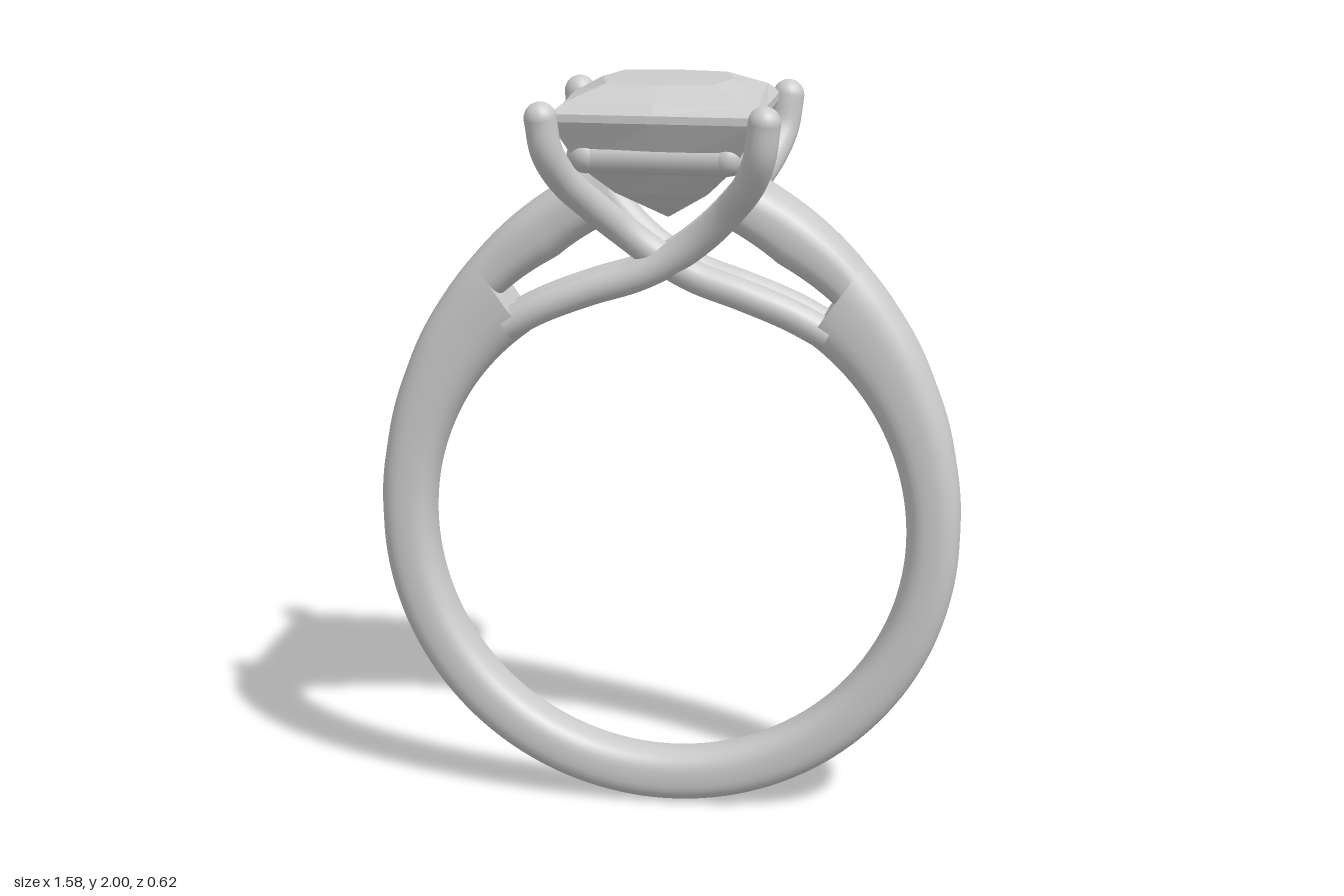
import * as THREE from 'three';

const metal = new THREE.MeshStandardMaterial({ color: 0xcccccc });
const facet = new THREE.MeshStandardMaterial({ color: 0xcccccc, flatShading: true });
const CENTRE_Y = 0.79;
const SPLIT = 55; // angle above horizontal where the band divides

// Piecewise smooth lookup in a list of [key, value] pairs
function lookup(table, k) {
  if (k <= table[0][0]) return table[0][1];
  for (let i = 1; i < table.length; i++) {
    const [k0, v0] = table[i - 1], [k1, v1] = table[i];
    if (k <= k1) return v0 + (v1 - v0) * (k - k0) / (k1 - k0);
  }
  return table[table.length - 1][1];
}

// Skin a list of closed rings of Vector3 and cap both ends
function loft(rings) {
  const n = rings[0].length, pos = [], idx = [];
  rings.forEach(r => r.forEach(p => pos.push(p.x, p.y, p.z)));
  for (let i = 0; i < rings.length - 1; i++) {
    for (let j = 0; j < n; j++) {
      const k = (j + 1) % n, a = i * n + j, c = i * n + k;
      idx.push(a, a + n, c, a + n, c + n, c);
    }
  }
  [rings[0], rings[rings.length - 1]].forEach((ring, end) => {
    const base = pos.length / 3, mid = new THREE.Vector3();
    ring.forEach(p => { mid.addScaledVector(p, 1 / n); pos.push(p.x, p.y, p.z); });
    pos.push(mid.x, mid.y, mid.z);
    for (let j = 0; j < n; j++) {
      const a = base + j, b = base + (j + 1) % n;
      if (end) idx.push(base + n, b, a); else idx.push(base + n, a, b);
    }
  });
  const g = new THREE.BufferGeometry();
  g.setAttribute('position', new THREE.Float32BufferAttribute(pos, 3));
  g.setIndex(idx);
  g.computeVertexNormals();
  return g;
}

// Band profile by angle above horizontal (degrees)
const outerR = [[-90, 0.79], [0, 0.787], [15, 0.798], [30, 0.824], [45, 0.866], [55, 0.9], [72, 0.97], [80, 1.005]];
const halfW = [[-90, 0.07], [0, 0.086], [45, 0.088], [58, 0.092], [70, 0.103], [80, 0.12]];
const shoulderInner = [[55, 0.77], [68, 0.79], [80, 0.845]];

// Sweep a rounded section around the finger from one angle to another
function bandPiece(from, to, steps, innerR) {
  const rings = [];
  for (let i = 0; i <= steps; i++) {
    const deg = from + (to - from) * i / steps;
    const up = deg < -90 ? -180 - deg : deg;
    const ang = THREE.MathUtils.degToRad(deg);
    const ri = innerR(up), ro = lookup(outerR, up), w = lookup(halfW, up);
    const ring = [];
    for (let j = 0; j < 32; j++) {
      const u = j / 32 * Math.PI * 2, e = 2 / 2.6;
      const c = Math.sign(Math.cos(u)) * Math.abs(Math.cos(u)) ** e;
      const s = Math.sign(Math.sin(u)) * Math.abs(Math.sin(u)) ** e;
      const r = (ri + ro) / 2 + c * (ro - ri) / 2;
      ring.push(new THREE.Vector3(r * Math.cos(ang), CENTRE_Y + r * Math.sin(ang), w * s));
    }
    rings.push(ring);
  }
  return loft(rings);
}

// Wire that leaves the band, crosses the middle and rises into a claw
function prong(side, crossZ) {
  const g = new THREE.Group();
  g.name = 'prong';
  const path = [
    [-0.43, 1.34, 0.045], [-0.33, 1.392, 0.048], [-0.2, 1.443, 0.05], [-0.08, 1.483, (0.05 + crossZ) / 2],
    [0.02, 1.535, crossZ], [0.11, 1.605, crossZ + 0.02], [0.185, 1.685, 0.125],
    [0.24, 1.76, 0.2], [0.272, 1.84, 0.254], [0.284, 1.925, 0.268],
  ].map(([x, y, z]) => new THREE.Vector3(x * side, y, z));
  const wire = new THREE.Mesh(
    new THREE.TubeGeometry(new THREE.CatmullRomCurve3(path), 64, 0.042, 20), metal);
  wire.name = 'prongWire';
  const tip = new THREE.Mesh(new THREE.SphereGeometry(0.042, 20, 14), metal);
  tip.name = 'prongTip';
  tip.position.copy(path[path.length - 1]);
  g.add(wire, tip);
  return g;
}

// Eight-point ring of the stone: corners and side middles
function stoneRing(corner, midX, midZ, y) {
  const p = [[midX, 0], [corner, corner], [0, midZ], [-corner, corner],
    [-midX, 0], [-corner, -corner], [0, -midZ], [corner, -corner]];
  return p.map(([x, z]) => new THREE.Vector3(x, y, z));
}

export function createModel() {
  const model = new THREE.Group();
  model.name = 'ring';
  const add = (name, geometry, material = metal) => {
    const m = new THREE.Mesh(geometry, material);
    m.name = name;
    model.add(m);
    return m;
  };

  // Band and the two upper shoulders
  add('band', bandPiece(-180 - SPLIT, SPLIT, 120, () => 0.645));
  const inner = up => lookup(shoulderInner, up);
  add('leftShoulder', bandPiece(SPLIT, 79, 20, inner));
  add('rightShoulder', bandPiece(-259, -180 - SPLIT, 20, inner));

  // Crossing claws, repeated by a half turn
  for (const turn of [0, Math.PI]) {
    const pair = new THREE.Group();
    pair.name = turn ? 'backProngs' : 'frontProngs';
    pair.add(prong(1, 0.062), prong(-1, 0.035));
    pair.rotation.y = turn;
    model.add(pair);
  }

  // Square gallery rail under the stone
  for (let i = 0; i < 4; i++) {
    const rail = add('galleryRail', new THREE.CapsuleGeometry(0.048, 0.37, 8, 20));
    const a = i * Math.PI / 2;
    rail.rotation.set(0, a, Math.PI / 2, 'YXZ');
    rail.position.set(0.182 * Math.sin(a), 1.823, 0.182 * Math.cos(a));
  }

  // Faceted square stone: culet, pavilion, girdle, crown, table
  add('stone', loft([
    stoneRing(0.002, 0.002, 0.002, 1.635),
    stoneRing(0.12, 0.125, 0.125, 1.715),
    stoneRing(0.2, 0.205, 0.205, 1.795),
    stoneRing(0.262, 0.262, 0.262, 1.915),
    stoneRing(0.262, 0.262, 0.262, 1.935),
    stoneRing(0.232, 0.245, 0.245, 1.96),
    stoneRing(0.137, 0.172, 0.16, 2),
  ]), facet);

  return model;
}
